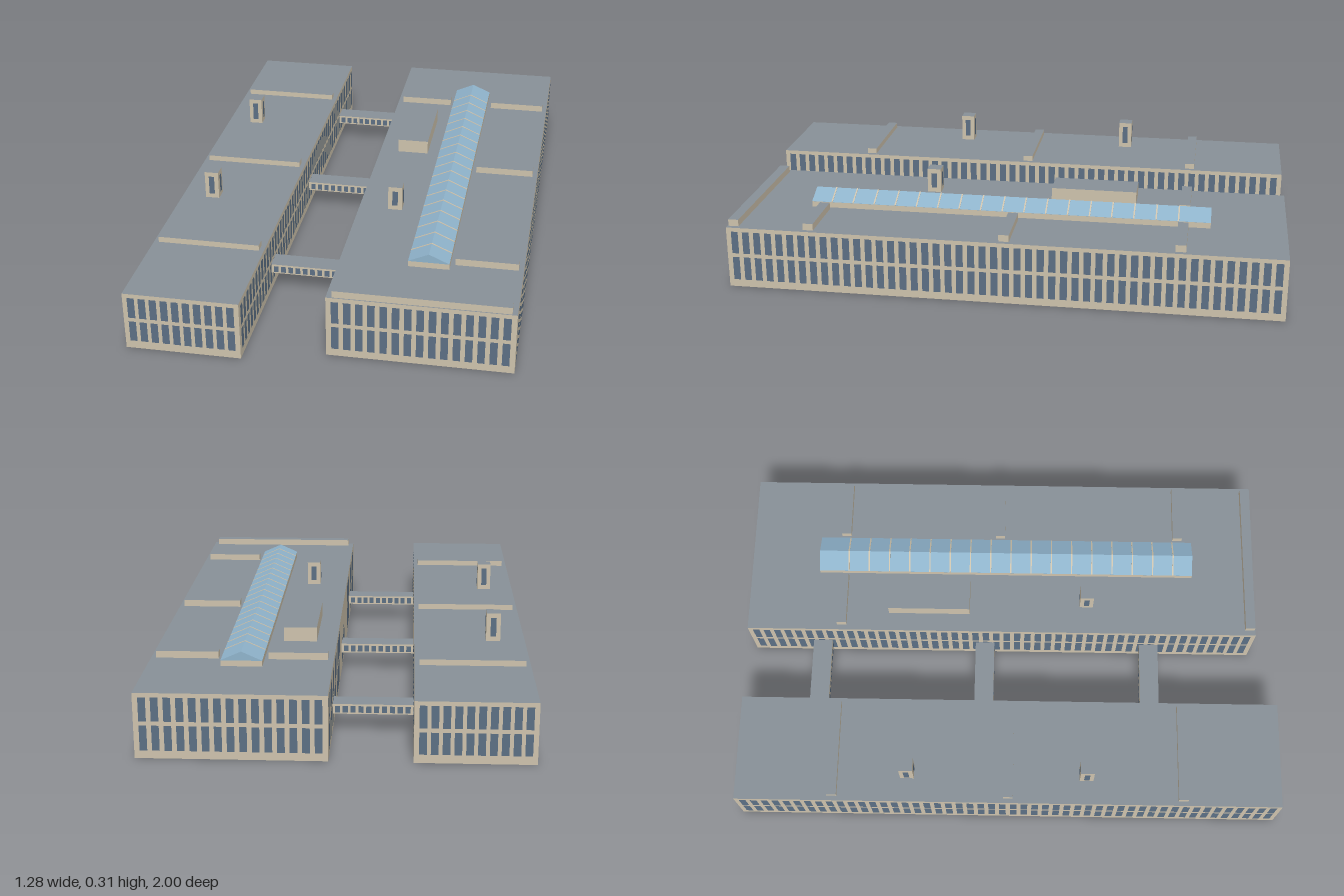
import * as THREE from 'three';
import { mergeGeometries } from 'three/addons/utils/BufferGeometryUtils.js';

const mat = (name, color, side = THREE.DoubleSide) => {
  const m = new THREE.MeshStandardMaterial({ color, side });
  m.name = name;
  return m;
};

export function createModel() {
  const stone = mat('stone', 0xcdc2ac);
  const roof = mat('roof', 0x879097);
  const glass = mat('window glass', 0x5c6f84, THREE.FrontSide);
  const skyGlass = mat('skylight glass', 0x8fb3cb);
  const model = new THREE.Group();
  model.name = 'twinBlockBuilding';

  const add = (parent, name, geometry, material) => {
    const mesh = new THREE.Mesh(geometry, material);
    mesh.name = name;
    parent.add(mesh);
    return mesh;
  };
  const group = (name) => {
    const g = new THREE.Group();
    g.name = name;
    model.add(g);
    return g;
  };

  // Hollow box with stone walls, a roof-coloured top and no floor
  const shell = (parent, name, [x0, x1], [y0, y1], [z0, z1]) => {
    const geo = new THREE.BoxGeometry(x1 - x0, y1 - y0, z1 - z0);
    const index = Array.from(geo.index.array);
    index.splice(18, 6);
    geo.setIndex(index);
    geo.clearGroups();
    geo.addGroup(0, 12, 0);
    geo.addGroup(12, 6, 1);
    geo.addGroup(18, 12, 0);
    geo.translate((x0 + x1) / 2, (y0 + y1) / 2, (z0 + z1) / 2);
    return add(parent, name, geo, [stone, roof]);
  };

  // Rows of window panes on the chosen sides (0 front, 1 left, 2 back, 3 right)
  const windows = (parent, name, [x0, x1], [z0, z1], rows, counts, paneWidth, margin = 0.01) => {
    const panes = [];
    const cx = (x0 + x1) / 2, cz = (z0 + z1) / 2;
    counts.forEach((count, side) => {
      const length = side % 2 ? z1 - z0 : x1 - x0;
      const depth = (side % 2 ? x1 - x0 : z1 - z0) / 2 + 0.0015;
      const pitch = (length - 2 * margin) / count;
      for (let i = 0; i < count; i++) {
        for (const [y0, y1] of rows) {
          const pane = new THREE.PlaneGeometry(paneWidth, y1 - y0);
          pane.translate((i - (count - 1) / 2) * pitch, (y0 + y1) / 2, depth);
          pane.rotateY(side * Math.PI / 2);
          pane.translate(cx, 0, cz);
          panes.push(pane);
        }
      }
    });
    add(parent, name, mergeGeometries(panes), glass);
  };

  // Two long blocks
  const narrow = group('narrowBlock');
  const nx = [-0.64, -0.25], nz = [-1, 1], nTop = 0.208;
  shell(narrow, 'narrowBlockWalls', nx, [0, nTop], nz);
  windows(narrow, 'narrowBlockWindows', nx, nz, [[0.029, 0.104], [0.118, 0.194]], [10, 50, 10, 50], 0.0245);

  const wide = group('wideBlock');
  const wx = [0.02, 0.637], wz = [-1, 0.93], wTop = 0.221;
  shell(wide, 'wideBlockWalls', wx, [0, wTop], wz);
  windows(wide, 'wideBlockWindows', wx, wz, [[0.027, 0.112], [0.126, 0.207]], [15, 48, 15, 48], 0.0245);

  // Low cross ridges on the roofs
  for (const z of [-0.643, 0, 0.64]) {
    shell(narrow, 'roofRidge', [-0.623, -0.267], [nTop - 0.006, 0.228], [z - 0.018, z + 0.018]);
  }
  const ridges = [[0.04, 0.24, -0.643], [0.408, 0.62, -0.643], [0.408, 0.62, -0.046],
    [0.408, 0.62, 0.64], [0.04, 0.62, 0.908]];
  for (const [x0, x1, z] of ridges) {
    shell(wide, 'roofRidge', [x0, x1], [wTop - 0.006, 0.245], [z - 0.018, z + 0.018]);
  }

  // Stair towers with one tall window per side
  const tower = (parent, x, z, base) => {
    const r = 0.025, xs = [x - r, x + r], zs = [z - r, z + r];
    shell(parent, 'roofTower', xs, [base - 0.01, 0.31], zs);
    windows(parent, 'towerWindows', xs, zs, [[base + 0.017, 0.294]], [1, 1, 1, 1], 0.02);
  };
  tower(narrow, -0.528, 0.287, nTop);
  tower(narrow, -0.528, -0.37, nTop);
  tower(wide, 0.15, 0.287, wTop);

  // Plant room
  shell(wide, 'plantRoom', [0.09, 0.205], [wTop - 0.02, 0.271], [-0.465, -0.157]);

  // Skylight: stone curb, gabled glass and thin ribs
  const sx0 = 0.253, sx1 = 0.392, sz0 = -0.737, sz1 = 0.692, eave = 0.241, peak = 0.272;
  shell(wide, 'skylightCurb', [sx0, sx1], [wTop - 0.004, eave], [sz0, sz1]);
  const gable = (z0, z1, lift) => {
    const shape = new THREE.Shape();
    shape.moveTo(sx0, eave);
    shape.lineTo(sx1, eave);
    shape.lineTo(sx1, eave + lift);
    shape.lineTo((sx0 + sx1) / 2, peak + lift);
    shape.lineTo(sx0, eave + lift);
    shape.closePath();
    const geo = new THREE.ExtrudeGeometry(shape, { depth: z1 - z0, bevelEnabled: false });
    return geo.translate(0, 0, z0);
  };
  add(wide, 'skylightGlass', gable(sz0, sz1, 0.0005), skyGlass);
  const ribs = [];
  for (let i = 0; i < 17; i++) {
    const z = -0.625 + i * 0.0777;
    ribs.push(gable(z - 0.0025, z + 0.0025, 0.002));
  }
  add(wide, 'skylightRibs', mergeGeometries(ribs), stone);

  // Covered bridges joining the blocks, running a little way inside each
  for (const z of [-0.727, -0.099, 0.533]) {
    const bridge = group('bridge');
    const bx = [-0.27, 0.042], bz = [z - 0.036, z + 0.036];
    shell(bridge, 'bridgeWalls', bx, [0.069, 0.103], bz);
    windows(bridge, 'bridgeWindows', bx, bz, [[0.074, 0.097]], [12, 0, 12, 0], 0.017, 0);
  }
  return model;
}
